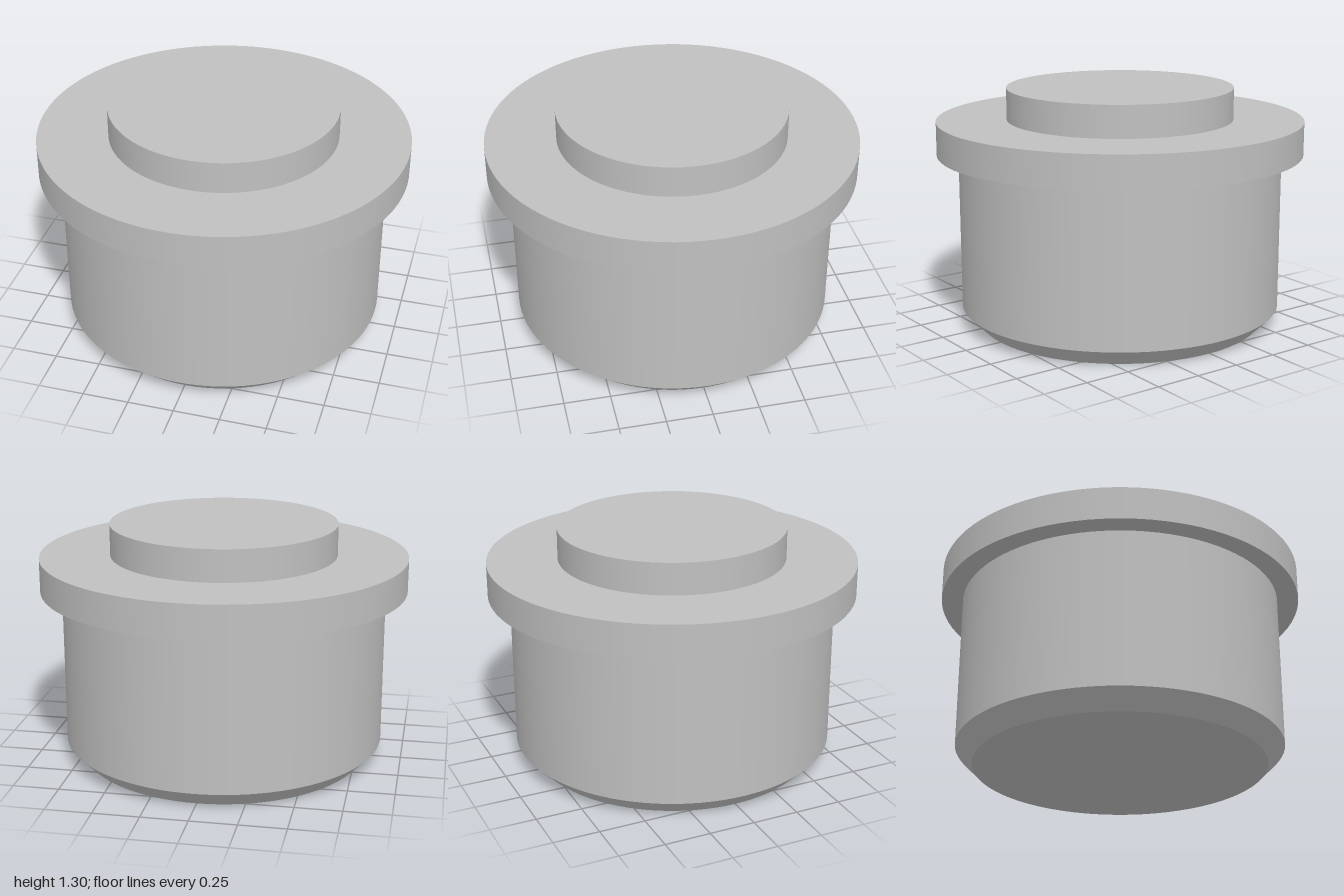
import * as THREE from 'three';
import { mergeGeometries } from 'three/addons/utils/BufferGeometryUtils.js';

const SEGMENTS = 96;

// Revolve a profile of [radius, height] points, keeping every corner sharp
function turned(profile) {
  const bands = [];
  for (let i = 0; i < profile.length - 1; i++) {
    const pair = [profile[i], profile[i + 1]].map(([r, y]) => new THREE.Vector2(r, y));
    bands.push(new THREE.LatheGeometry(pair, SEGMENTS));
  }
  return mergeGeometries(bands);
}

export function createModel() {
  const group = new THREE.Group();
  group.name = 'flangedPlug';

  const metal = new THREE.MeshStandardMaterial({ color: 0xc0c0c0 });
  metal.name = 'grey metal';

  // Profiles run from bottom to top and join into one closed skin
  const parts = {
    // Barrel with flat base and chamfered lower edge
    body: [[0, 0], [0.79, 0], [0.883, 0.095], [0.883, 0.95]],
    // Wide collar
    flange: [[0.883, 0.95], [1, 0.95], [1, 1.132], [0.618, 1.132]],
    // Raised disc on top
    cap: [[0.618, 1.132], [0.618, 1.305], [0, 1.305]],
  };

  for (const [name, profile] of Object.entries(parts)) {
    const mesh = new THREE.Mesh(turned(profile), metal);
    mesh.name = name;
    group.add(mesh);
  }
  return group;
}
